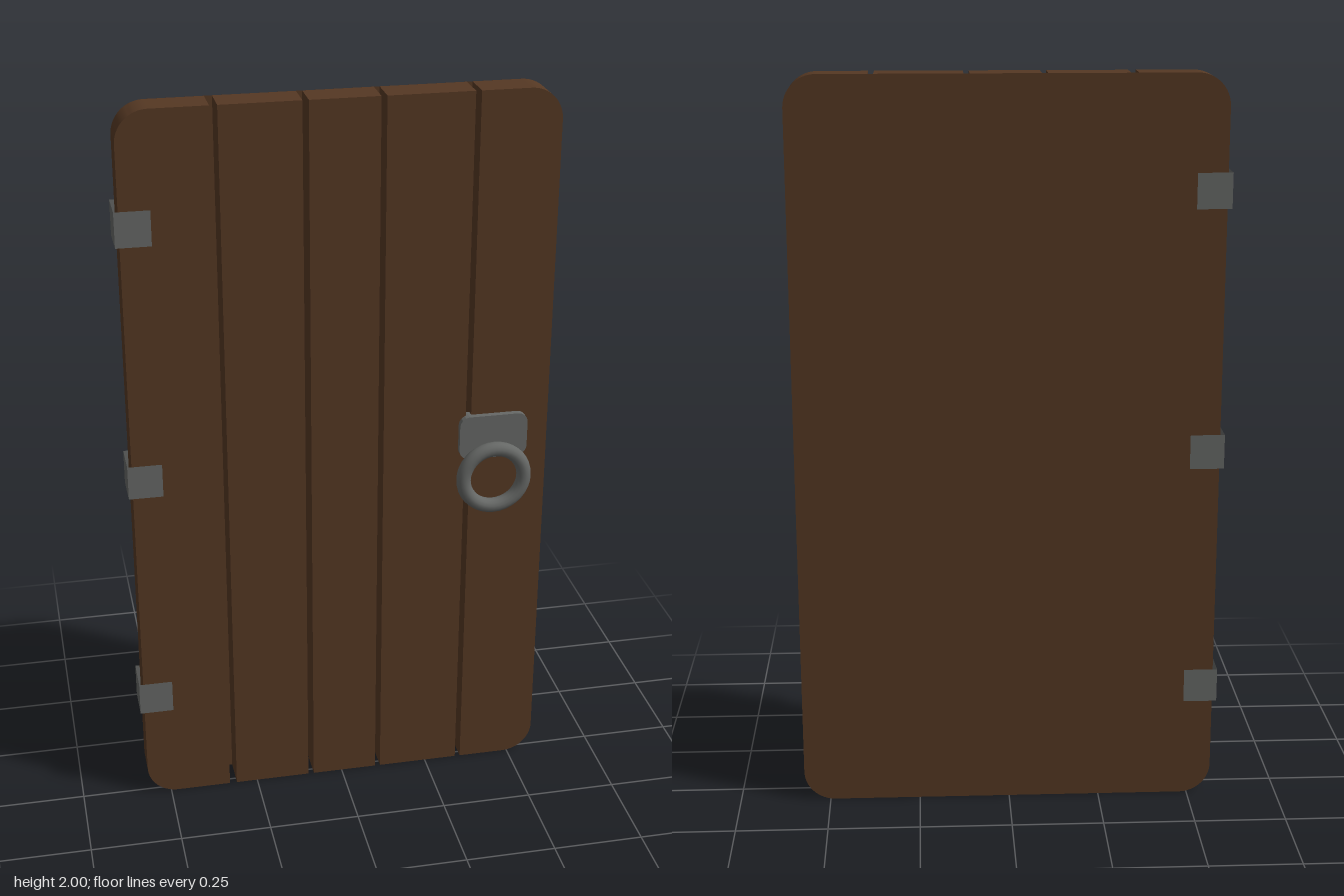
import * as THREE from 'three';
import { toCreasedNormals } from 'three/addons/utils/BufferGeometryUtils.js';

// Rectangle outline with separate radii for its left and right corners
function panelShape(x0, x1, y0, y1, rl, rr) {
  const s = new THREE.Shape();
  s.moveTo(x0 + rl, y0);
  s.lineTo(x1 - rr, y0);
  if (rr) s.absarc(x1 - rr, y0 + rr, rr, -Math.PI / 2, 0, false);
  s.lineTo(x1, y1 - rr);
  if (rr) s.absarc(x1 - rr, y1 - rr, rr, 0, Math.PI / 2, false);
  s.lineTo(x0 + rl, y1);
  if (rl) s.absarc(x0 + rl, y1 - rl, rl, Math.PI / 2, Math.PI, false);
  s.lineTo(x0, y0 + rl);
  if (rl) s.absarc(x0 + rl, y0 + rl, rl, Math.PI, Math.PI * 1.5, false);
  return s;
}

function slab(shape, z0, z1) {
  const g = new THREE.ExtrudeGeometry(shape, { depth: z1 - z0, bevelEnabled: false, curveSegments: 8 });
  g.translate(0, 0, z0);
  return toCreasedNormals(g, 0.6);
}

export function createModel() {
  const wood = new THREE.MeshStandardMaterial({ color: 0x553823 });
  wood.name = 'brownWood';
  wood.side = THREE.DoubleSide;
  const iron = new THREE.MeshStandardMaterial({ color: 0x666866 });
  iron.name = 'greyIron';
  iron.side = THREE.DoubleSide;

  const door = new THREE.Group();
  door.name = 'door';
  const add = (name, geometry, material) => {
    const m = new THREE.Mesh(geometry, material);
    m.name = name;
    door.add(m);
    return m;
  };

  // Upright planks, the outer two with rounded corners
  const r = 0.085;
  const planks = [[-0.565, -0.33], [-0.31, -0.099], [-0.083, 0.1], [0.115, 0.342], [0.357, 0.572]];
  planks.forEach(([x0, x1], i) => {
    const shape = panelShape(x0, x1, 0, 2, i === 0 ? r : 0, i === planks.length - 1 ? r : 0);
    add('plank' + (i + 1), slab(shape, -0.07, 0.02), wood);
  });

  // Thin sheet closing the back of the gaps
  const back = new THREE.ShapeGeometry(panelShape(-0.565, 0.572, 0, 2, r, r), 8);
  back.rotateY(Math.PI);
  back.scale(-1, 1, 1);
  back.translate(0, 0, -0.0705);
  add('backSheet', back, wood);

  // Hinge straps: U-shaped bands wrapped round the edge (side, front and back only)
  [0.325, 1.0, 1.7].forEach((y, i) => {
    const g = new THREE.BoxGeometry(0.092, 0.094, 0.104);
    const idx = Array.from(g.index.array);
    g.setIndex([...idx.slice(6, 12), ...idx.slice(24, 36)]);
    g.clearGroups();
    add('hinge' + (i + 1), g, iron).position.set(-0.531, y, -0.023);
  });

  // Handle plate and pull ring
  add('handlePlate', slab(panelShape(0.323, 0.512, 0.985, 1.11, 0.028, 0.028), 0, 0.037), iron);
  add('handleRing', new THREE.TorusGeometry(0.085, 0.02, 14, 36), iron).position.set(0.416, 0.934, 0.057);

  return door;
}
